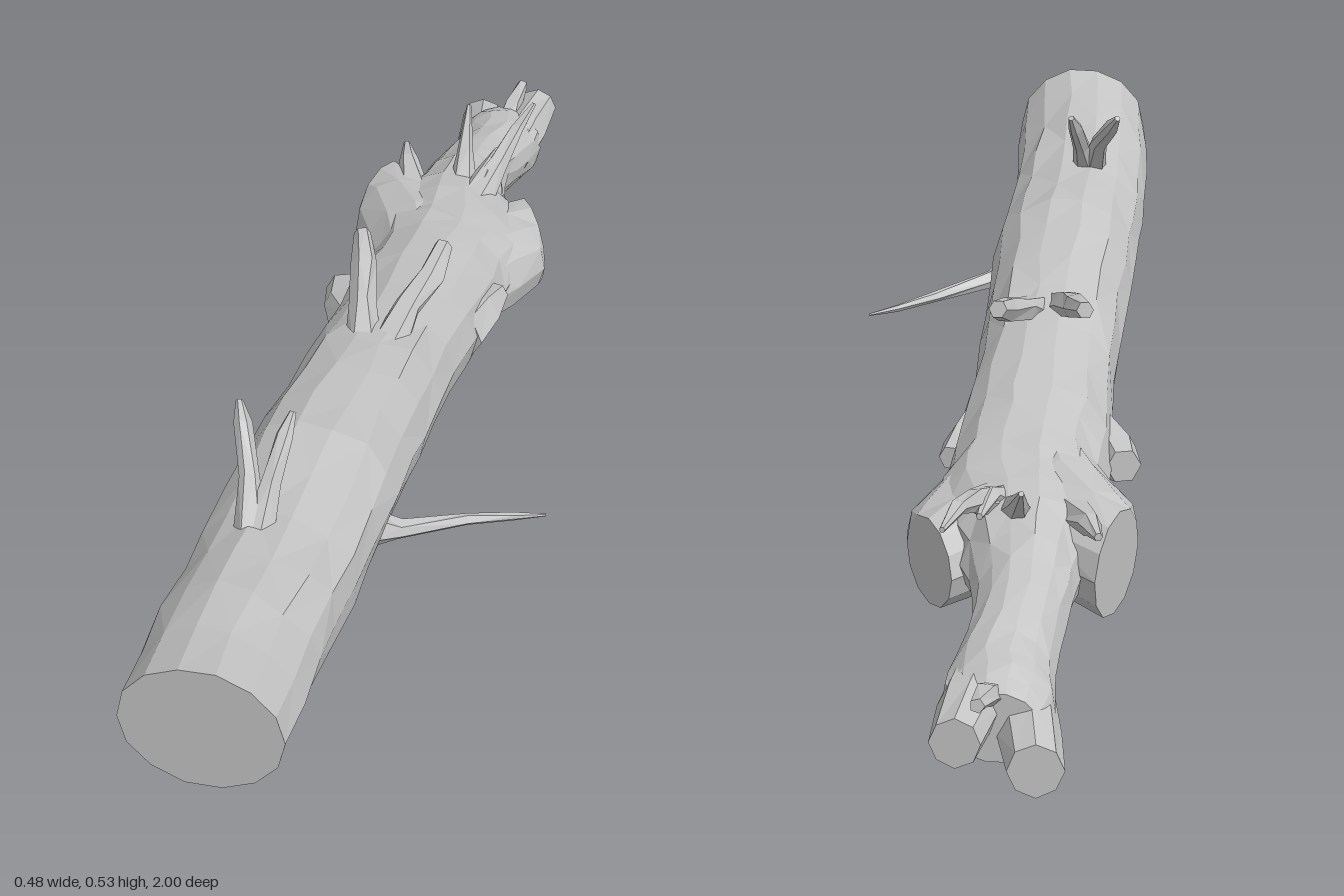
import * as THREE from 'three';

const bark = new THREE.MeshStandardMaterial({ color: 0xc4c4c4, flatShading: true });
bark.name = 'bark grey';

// small repeatable noise in -1..1
function seeded(seed) {
  let s = seed;
  return () => {
    s = (s * 16807) % 2147483647;
    return (s / 2147483647) * 2 - 1;
  };
}

// Closed skin through elliptical rings { c: centre, n: facing, rx, ry }
function loft(rings, sides, rough, seed) {
  const rnd = seeded(seed);
  const up = new THREE.Vector3(0, 1, 0);
  const loops = rings.map(({ c, n, rx, ry }, i) => {
    const u = new THREE.Vector3().crossVectors(up, n).normalize();
    const v = new THREE.Vector3().crossVectors(n, u);
    const end = i === 0 || i === rings.length - 1;
    return Array.from({ length: sides }, (_, j) => {
      const a = ((j + (end ? 0 : rnd() * rough * 3)) / sides) * Math.PI * 2;
      const k = 1 + rnd() * rough * (end ? 0.3 : 1);
      const p = c.clone().addScaledVector(u, Math.cos(a) * rx * k).addScaledVector(v, Math.sin(a) * ry * k);
      return end ? p : p.addScaledVector(n, rnd() * rough * rx * 3);
    });
  });
  const pos = [];
  const tri = (...ps) => ps.forEach((p) => pos.push(p.x, p.y, p.z));
  const last = rings.length - 1;
  for (let j = 0; j < sides; j++) {
    const k = (j + 1) % sides;
    for (let i = 0; i < last; i++) {
      const [a, b, c, d] = [loops[i][j], loops[i][k], loops[i + 1][k], loops[i + 1][j]];
      if ((i + j) % 2) { tri(a, b, c); tri(a, c, d); } else { tri(a, b, d); tri(b, c, d); }
    }
    tri(rings[0].c, loops[0][k], loops[0][j]);
    tri(rings[last].c, loops[last][j], loops[last][k]);
  }
  const g = new THREE.BufferGeometry();
  g.setAttribute('position', new THREE.Float32BufferAttribute(pos, 3));
  g.computeVertexNormals();
  return g;
}

// Limb through [x, y, z, radius] points; endFacing tilts the final cut
function limb(points, sides, rough, seed, endFacing) {
  const cs = points.map((p) => new THREE.Vector3(p[0], p[1], p[2]));
  const rings = points.map((p, i) => ({
    c: cs[i],
    n: cs[Math.min(i + 1, cs.length - 1)].clone().sub(cs[Math.max(i - 1, 0)]).normalize(),
    rx: p[3],
    ry: p[4] ?? p[3],
  }));
  if (endFacing) rings[rings.length - 1].n = new THREE.Vector3(...endFacing).normalize();
  return loft(rings, sides, rough, seed);
}

export function createModel() {
  const group = new THREE.Group();
  const add = (name, geometry) => {
    const m = new THREE.Mesh(geometry, bark);
    m.name = name;
    group.add(m);
  };

  // Trunk stations: z, left edge, right edge, bottom, top
  const stations = [
    [1, -0.177, 0.044, 0.314, 0.515],
    [0.8, -0.19, 0.035, 0.275, 0.472],
    [0.6, -0.196, 0.033, 0.225, 0.435],
    [0.4, -0.197, 0.035, 0.218, 0.422],
    [0.2, -0.192, 0.03, 0.17, 0.386],
    [0, -0.187, 0.028, 0.132, 0.338],
    [-0.2, -0.197, 0.038, 0.08, 0.297],
    [-0.32, -0.192, 0.04, 0.065, 0.272],
    [-0.42, -0.205, 0.045, 0.066, 0.256],
    [-0.52, -0.19, 0.005, 0.073, 0.237],
    [-0.6, -0.172, -0.025, 0.07, 0.212],
    [-0.7, -0.163, -0.04, 0.054, 0.183],
    [-0.8, -0.156, -0.024, 0.022, 0.152],
    [-0.87, -0.163, -0.016, 0.01, 0.138],
    [-0.92, -0.15, -0.035, 0.02, 0.115],
  ];
  const curve = (k) => new THREE.CatmullRomCurve3(stations.map((s) => new THREE.Vector3(s[k], s[k + 1], s[0])));
  const sidesCurve = curve(1), heightCurve = curve(3);
  const rings = [];
  const steps = 28;
  for (let i = 0; i <= steps; i++) {
    const a = sidesCurve.getPoint(i / steps), b = heightCurve.getPoint(i / steps);
    rings.push({
      c: new THREE.Vector3((a.x + a.y) / 2, (b.x + b.y) / 2, a.z),
      n: new THREE.Vector3(0, 0, -1),
      rx: (a.y - a.x) / 2,
      ry: (b.y - b.x) / 2,
    });
  }
  add('trunk', loft(rings, 14, 0.035, 11));

  // Sawn side stumps near the thin end
  add('leftStump', limb([[-0.06, 0.17, -0.26, 0.07, 0.08], [-0.03, 0.15, -0.38, 0.09, 0.085],
    [0.005, 0.138, -0.46, 0.085, 0.072], [0.04, 0.132, -0.512, 0.082, 0.062]], 12, 0.03, 5, [0.87, 0, -0.48]));
  add('rightStump', limb([[-0.1, 0.18, -0.28, 0.07, 0.08], [-0.13, 0.165, -0.4, 0.09, 0.085],
    [-0.175, 0.155, -0.48, 0.085, 0.08], [-0.22, 0.145, -0.53, 0.082, 0.075]], 12, 0.03, 8, [-0.94, -0.05, -0.3]));

  // Forked tip
  add('rightProng', limb([[-0.11, 0.075, -0.8, 0.045], [-0.13, 0.055, -0.9, 0.043],
    [-0.148, 0.043, -0.99, 0.036]], 8, 0.06, 3, [-0.1, 0, -1]));
  add('leftProng', limb([[-0.07, 0.085, -0.8, 0.045], [-0.055, 0.085, -0.9, 0.04],
    [-0.048, 0.078, -0.995, 0.033]], 8, 0.06, 4, [0.05, 0, -1]));
  add('tipSpur', limb([[-0.09, 0.08, -0.86, 0.025], [-0.08, 0.115, -0.93, 0.017],
    [-0.075, 0.125, -0.985, 0.01]], 5, 0.1, 6));

  // Twigs and snags
  const twigs = {
    frontTwigRight: [[-0.105, 0.41, 0.64, 0.026], [-0.122, 0.475, 0.58, 0.015], [-0.145, 0.515, 0.525, 0.014], [-0.157, 0.535, 0.5, 0.005]],
    frontTwigLeft: [[-0.1, 0.41, 0.64, 0.026], [-0.092, 0.47, 0.58, 0.014], [-0.085, 0.51, 0.53, 0.012], [-0.08, 0.533, 0.505, 0.005]],
    middleTwigRight: [[-0.09, 0.32, 0.1, 0.03], [-0.11, 0.352, 0.02, 0.021], [-0.13, 0.372, -0.06, 0.02], [-0.147, 0.384, -0.12, 0.013]],
    middleTwigLeft: [[-0.06, 0.32, 0.08, 0.03], [-0.045, 0.35, 0, 0.02], [-0.025, 0.365, -0.06, 0.02], [-0.018, 0.382, -0.12, 0.014]],
    rearTwigLong: [[-0.05, 0.21, -0.48, 0.03], [-0.03, 0.24, -0.56, 0.017], [-0.014, 0.258, -0.64, 0.012], [-0.003, 0.257, -0.725, 0.004]],
    rearTwigUpright: [[-0.08, 0.21, -0.52, 0.025], [-0.09, 0.243, -0.58, 0.014], [-0.1, 0.285, -0.655, 0.004]],
    rearTwigShort: [[-0.06, 0.2, -0.46, 0.03], [-0.045, 0.235, -0.53, 0.016], [-0.04, 0.235, -0.61, 0.005]],
    rearKnotTwig: [[-0.16, 0.2, -0.5, 0.03], [-0.185, 0.215, -0.57, 0.016], [-0.2, 0.215, -0.62, 0.006]],
    sideSpike: [[0, 0.295, 0.45, 0.032], [0.045, 0.277, 0.42, 0.015], [0.13, 0.262, 0.36, 0.009], [0.19, 0.25, 0.325, 0.006], [0.233, 0.244, 0.305, 0.002]],
    lowerTwigFront: [[-0.09, 0.27, 0.4, 0.035], [-0.098, 0.215, 0.45, 0.02], [-0.104, 0.18, 0.465, 0.017], [-0.11, 0.15, 0.475, 0.007]],
    lowerTwigSplinter: [[-0.07, 0.27, 0.42, 0.03], [-0.06, 0.225, 0.475, 0.014], [-0.05, 0.205, 0.5, 0.004]],
    lowerTwigMiddle: [[-0.11, 0.19, 0.15, 0.04], [-0.125, 0.14, 0.085, 0.03], [-0.142, 0.1, 0.045, 0.023], [-0.155, 0.072, 0.018, 0.018]],
    rightKnot: [[-0.16, 0.19, -0.13, 0.045], [-0.195, 0.185, -0.19, 0.038], [-0.213, 0.185, -0.24, 0.026]],
    leftKnot: [[0, 0.2, -0.14, 0.045], [0.022, 0.196, -0.2, 0.034], [0.037, 0.198, -0.265, 0.018]],
  };
  Object.entries(twigs).forEach(([name, pts], i) => add(name, limb(pts, 6, 0.08, 21 + i * 7)));

  return group;
}
